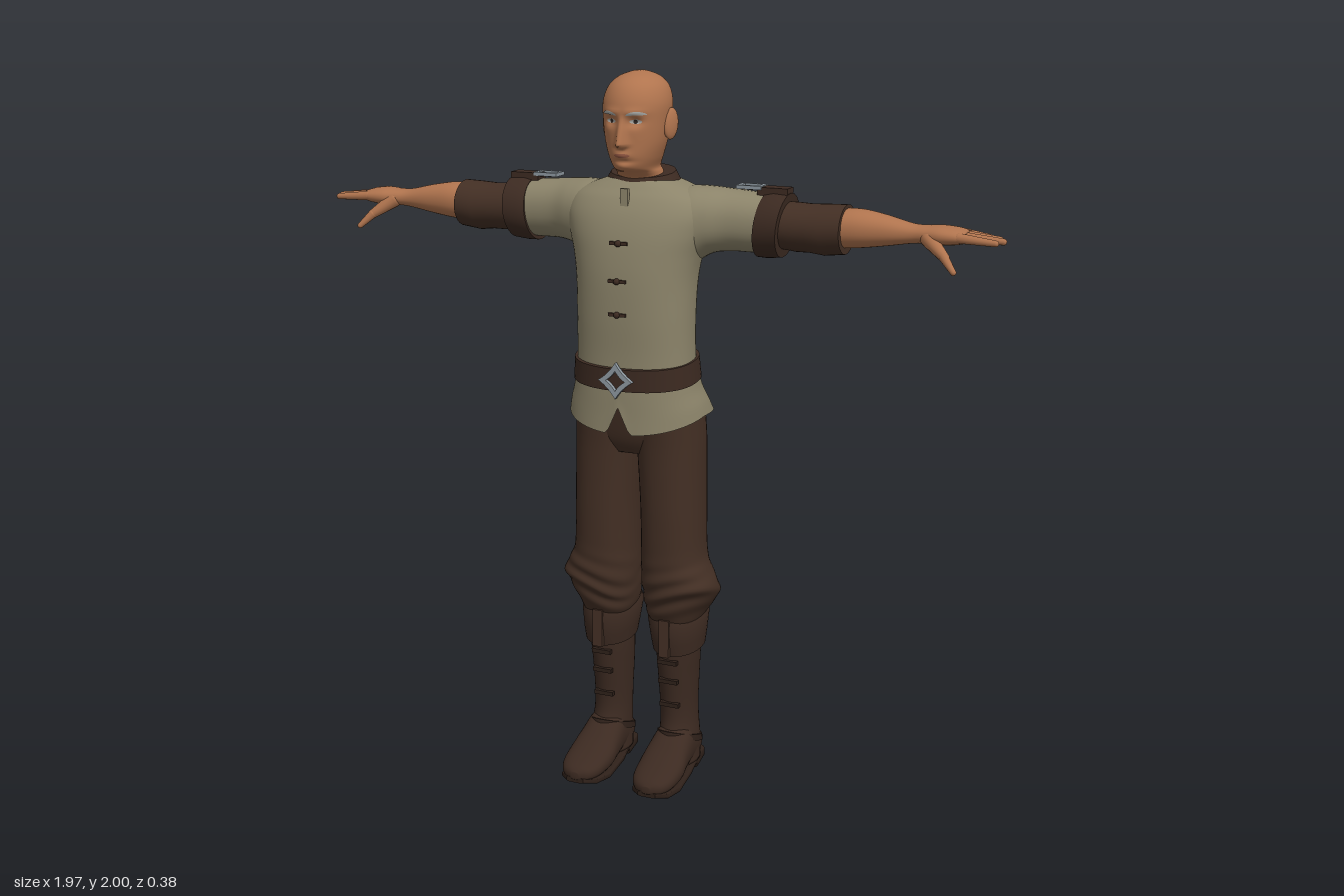
import * as THREE from 'three';
import { toCreasedNormals } from 'three/addons/utils/BufferGeometryUtils.js';

const mat = (name, color, side = THREE.FrontSide) => {
  const m = new THREE.MeshStandardMaterial({ color, side });
  m.name = name;
  return m;
};

// Smooth sample of the cross-section rows at parameter u
function sample(rows, u) {
  const last = rows.length - 1, i = Math.min(Math.floor(u), last - 1), f = u - i;
  const r = k => rows[Math.max(0, Math.min(last, k))];
  return rows[0].map((_, c) => {
    const [a, b, d, e] = [r(i - 1)[c], r(i)[c], r(i + 1)[c], r(i + 2)[c]];
    return b + 0.5 * f * (d - a + f * (2 * a - 5 * b + 4 * d - e + f * (3 * (b - d) + e - a)));
  });
}

// Closed rings along an axis; each row is [position, min1, max1, min2, max2], ascending
function loft(rows, { axis = 'y', n = 2, hard = false, segs = 36, steps = 6, warp, cap = true } = {}) {
  if (hard) steps = 1;
  const count = (rows.length - 1) * steps + 1, pos = [], idx = [], v = new THREE.Vector3();
  const put = (t, a, b) => {
    if (axis === 'y') v.set(a, t, b);
    else if (axis === 'x') v.set(t, a, b);
    else v.set(a, b, t);
    if (warp) warp(v);
    pos.push(v.x, v.y, v.z);
  };
  const tri = (a, b, c) => (axis === 'y' ? idx.push(a, c, b) : idx.push(a, b, c));
  const pw = s => Math.sign(s) * Math.pow(Math.abs(s), 2 / n);
  for (let j = 0; j < count; j++) {
    const [t, a0, a1, b0, b1] = sample(rows, j / steps);
    for (let i = 0; i < segs; i++) {
      const th = (i / segs) * Math.PI * 2;
      put(t, (a0 + a1) / 2 + (a1 - a0) / 2 * pw(Math.cos(th)), (b0 + b1) / 2 + (b1 - b0) / 2 * pw(Math.sin(th)));
    }
  }
  for (let j = 0; j < count - 1; j++) for (let i = 0; i < segs; i++) {
    const a = j * segs + i, b = j * segs + (i + 1) % segs;
    tri(a, b, a + segs);
    tri(b, b + segs, a + segs);
  }
  if (cap) [0, count - 1].forEach((j, end) => {
    const [t, a0, a1, b0, b1] = rows[end ? rows.length - 1 : 0], c = pos.length / 3;
    put(t, (a0 + a1) / 2, (b0 + b1) / 2);
    for (let i = 0; i < segs; i++) {
      const a = j * segs + i, b = j * segs + (i + 1) % segs;
      if (end) tri(a, b, c);
      else tri(b, a, c);
    }
  });
  const g = new THREE.BufferGeometry();
  g.setAttribute('position', new THREE.Float32BufferAttribute(pos, 3));
  g.setIndex(idx);
  g.computeVertexNormals();
  return hard ? toCreasedNormals(g, 0.7) : g;
}

// Tapered round-ended segment between two points
function digit(p, q, r0, r1) {
  const a = new THREE.Vector3(...p), d = new THREE.Vector3(...q).sub(a), len = d.length(), pts = [];
  for (let i = 0; i <= 5; i++) pts.push(new THREE.Vector2(r0 * Math.sin(i * Math.PI / 10), -r0 * Math.cos(i * Math.PI / 10)));
  for (let i = 0; i <= 5; i++) pts.push(new THREE.Vector2(r1 * Math.cos(i * Math.PI / 10), len - r1 + r1 * Math.sin(i * Math.PI / 10)));
  const g = new THREE.LatheGeometry(pts, 12);
  g.applyQuaternion(new THREE.Quaternion().setFromUnitVectors(new THREE.Vector3(0, 1, 0), d.normalize()));
  return g.translate(...p);
}

function mirror(geo) {
  const g = geo.clone().scale(-1, 1, 1);
  const src = g.index ? [...g.index.array] : Array.from({ length: g.attributes.position.count }, (_, i) => i);
  for (let i = 0; i < src.length; i += 3) [src[i], src[i + 1]] = [src[i + 1], src[i]];
  g.setIndex(src);
  return g;
}

const box = (w, h, d, x, y, z) => new THREE.BoxGeometry(w, h, d).translate(x, y, z);

// Head cross-sections and the raised and sunken features of the face
const headRows = [
  [1.66, -.09, .09, -.11, .02], [1.69, -.075, .075, -.1, .03], [1.72, -.065, .065, -.09, .036],
  [1.738, -.06, .06, -.087, .06], [1.752, -.057, .057, -.087, .09], [1.78, -.068, .068, -.086, .1],
  [1.82, -.08, .08, -.09, .102], [1.87, -.087, .087, -.1, .104], [1.92, -.09, .09, -.107, .102],
  [1.96, -.078, .078, -.1, .084], [1.985, -.053, .053, -.076, .053], [1.998, -.02, .02, -.04, .012], [2, -.004, .004, -.02, -.01]];
const bell = (d, w) => Math.exp(-(d * d) / (w * w));
function faceBump(x, y) {
  const ax = Math.abs(x);
  const ridge = y > 1.815 ? Math.max(0, (1.895 - y) / .08) : Math.max(0, 1 - (1.815 - y) / .012);
  return .03 * ridge * bell(x, .007 + .008 * ridge) - .013 * bell(ax - .034, .018) * bell(y - 1.875, .012)
    + .005 * bell(y - 1.9, .009) * bell(ax - .03, .03) + .006 * bell(y - 1.788, .009) * bell(x, .02)
    - .004 * bell(y - 1.772, .006) * bell(x, .03) + .005 * bell(y - 1.757, .01) * bell(x, .022);
}
function faceZ(x, y) {
  let u = 4;
  while (u < 10 && sample(headRows, u)[0] < y) u += .02;
  const [, , rx, zb, zf] = sample(headRows, u);
  return (zf + zb) / 2 + (zf - zb) / 2 * Math.sqrt(1 - (x * x) / (rx * rx)) + faceBump(x, y);
}
// Thin patch laid over the face, curved by bend and tapered to its ends
function facePatch(cx, cy, w, h, tilt = 0, bend = 0) {
  const g = new THREE.PlaneGeometry(w, h, 12, 4), p = g.attributes.position;
  for (let i = 0; i < p.count; i++) {
    const s = p.getX(i) / (w / 2), x = cx + p.getX(i);
    const y = cy + p.getY(i) * Math.sqrt(1.05 - s * s) + tilt * p.getX(i) + bend * (1 - s * s);
    p.setXYZ(i, x, y, faceZ(x, y) + .002);
  }
  g.computeVertexNormals();
  return g;
}

export function createModel() {
  const root = new THREE.Group();
  root.name = 'villager';
  const skin = mat('skin', 0xb0744e), cloth = mat('tunicCloth', 0x8c846a, THREE.DoubleSide);
  const trouser = mat('trouserBrown', 0x432f24), leather = mat('leather', 0x3c2a21), sole = mat('soleBrown', 0x2e2019);
  const silver = mat('silver', 0x8d979e), pale = mat('paleBrow', 0xa9aaa6), lip = mat('lip', 0x8d543f), dark = mat('eyeDark', 0x2a2320);
  const add = (name, geo, m) => {
    const mesh = new THREE.Mesh(geo, m);
    mesh.name = name;
    root.add(mesh);
  };
  const pair = (name, geo, m) => {
    add('left' + name, geo, m);
    add('right' + name, mirror(geo), m);
  };

  // Head and face
  add('head', loft(headRows, { segs: 112, steps: 8, warp: v => { if (v.z > .03 && v.y > 1.74) v.z += faceBump(v.x, v.y); } }), skin);
  const ear = new THREE.SphereGeometry(1, 16, 12).scale(.012, .042, .026).rotateY(-.35).rotateX(-.15);
  pair('Ear', ear.translate(.092, 1.865, -.008), skin);
  pair('Eyebrow', facePatch(.038, 1.894, .048, .009, .05, .004), pale);
  pair('EyeWhite', facePatch(.035, 1.876, .03, .011), pale);
  pair('Iris', facePatch(.034, 1.876, .01, .011).translate(0, 0, .0015), dark);
  add('mouth', facePatch(0, 1.788, .044, .011), lip);

  // Tunic body, flared skirt with a front notch, and collar
  add('tunicBody', loft([
    [1.15, -.17, .17, -.122, .124], [1.25, -.165, .165, -.112, .125], [1.35, -.164, .164, -.115, .13],
    [1.45, -.167, .167, -.127, .131], [1.52, -.178, .178, -.138, .126], [1.58, -.196, .196, -.147, .116],
    [1.63, -.205, .205, -.15, .1], [1.67, -.19, .19, -.142, .078], [1.695, -.15, .15, -.13, .056],
    [1.712, -.105, .105, -.118, .04], [1.72, -.08, .08, -.105, .03]], { n: 2.3, segs: 56 }), cloth);
  add('tunicSkirt', loft([
    [1.06, -.2, .2, -.187, .13], [1.1, -.192, .192, -.163, .128], [1.15, -.178, .178, -.138, .127], [1.21, -.168, .168, -.122, .125]],
  { n: 2.3, segs: 120, cap: false, warp: v => {
    const t = (1.21 - v.y) / .15, x = Math.abs(v.x);
    const notch = v.z > 0 ? Math.max(0, .075 * (1 - x / .034)) : 0;
    v.y += t * (notch - .16 * Math.max(0, v.z) + .55 * x * x);
  } }), cloth);
  add('collar', loft([[1.685, -.115, .115, -.124, .055], [1.728, -.09, .09, -.112, .036]],
    { hard: true, warp: v => { v.y -= .15 * v.z; } }), leather);
  add('neckPlacket', box(.022, .07, .012, 0, 1.665, .082), cloth);
  [[1.56, .121], [1.46, .13], [1.37, .13]].forEach(([y, z], i) => {
    add('clasp' + (i + 1), box(.05, .009, .012, 0, y, z), leather);
    add('claspToggle' + (i + 1), new THREE.SphereGeometry(.009, 10, 8).translate(0, y, z + .005), leather);
  });

  // Belt and concave diamond buckle
  add('belt', loft([[1.175, -.177, .177, -.136, .135], [1.236, -.172, .172, -.13, .137]],
    { n: 2.3, segs: 56, hard: true, warp: v => { v.y -= .1 * v.z; } }), leather);
  const star = (path, r) => {
    path.moveTo(0, r);
    for (const [x, y] of [[-r, 0], [0, -r], [r, 0], [0, r]]) {
      const p = path.currentPoint;
      path.quadraticCurveTo((p.x + x) * .38, (p.y + y) * .38, x, y);
    }
    return path;
  };
  const buckle = star(new THREE.Shape(), .05);
  buckle.holes.push(star(new THREE.Path(), .028));
  add('beltBuckle', new THREE.ExtrudeGeometry(buckle, { depth: .012, bevelEnabled: false }).translate(0, 1.192, .136), silver);

  // Sleeves, leather cuffs and shoulder straps
  pair('Sleeve', loft([
    [.09, 1.48, 1.695, -.135, .05], [.15, 1.495, 1.702, -.145, .055], [.2, 1.522, 1.7, -.15, .04],
    [.25, 1.53, 1.695, -.152, .022], [.31, 1.53, 1.69, -.153, .014], [.36, 1.53, 1.685, -.15, .01]], { axis: 'x', n: 2.2 }), cloth);
  pair('UpperCuff', loft([[.335, 1.519, 1.69, -.156, .018], [.36, 1.518, 1.695, -.158, .022], [.4, 1.522, 1.692, -.158, .022]],
    { axis: 'x', hard: true, warp: v => { v.x += .1 * (v.y - 1.6); } }), leather);
  pair('LowerCuff', loft([
    [.385, 1.545, 1.67, -.14, 0], [.43, 1.54, 1.67, -.142, .002], [.47, 1.54, 1.668, -.142, 0],
    [.51, 1.535, 1.67, -.148, .004], [.565, 1.542, 1.672, -.143, .002]], { axis: 'x', hard: true }), trouser);
  pair('ShoulderStrap', box(.085, .022, .045, .365, 1.695, -.068), leather);
  const rect = (w, h) => [[-w, -h], [w, -h], [w, h], [-w, h]].map(p => new THREE.Vector2(...p));
  const frame = new THREE.Shape(rect(.035, .026));
  frame.holes.push(new THREE.Path(rect(.024, .016)));
  pair('StrapBuckle', new THREE.ExtrudeGeometry(frame, { depth: .01, bevelEnabled: false }).rotateX(-Math.PI / 2).translate(.3, 1.699, -.068), silver);
  pair('StrapTongue', box(.07, .008, .022, .31, 1.7, -.068), leather);

  // Forearms, palms and fingers
  pair('Forearm', loft([
    [.54, 1.558, 1.66, -.13, -.015], [.6, 1.562, 1.663, -.13, -.015], [.67, 1.572, 1.652, -.117, -.024],
    [.74, 1.584, 1.636, -.102, -.034], [.78, 1.587, 1.634, -.106, -.03], [.82, 1.586, 1.636, -.118, -.022],
    [.86, 1.589, 1.632, -.123, -.023], [.885, 1.595, 1.625, -.118, -.028]], { axis: 'x', n: 2.2 }), skin);
  [[-.112, .938, -.12], [-.088, .97, -.096], [-.062, .986, -.068], [-.037, .974, -.032]].forEach(([z, tx, tz], i) =>
    pair('Finger' + (i + 1), digit([.87, 1.611, z], [tx, 1.604, tz], .0135, .0085), skin));
  pair('ThumbBase', digit([.79, 1.603, -.045], [.852, 1.556, -.006], .022, .013), skin);
  pair('ThumbTip', digit([.842, 1.563, -.01], [.877, 1.526, .012], .0125, .008), skin);

  // Trousers gathered below the knee
  add('trouserSeat', loft([[.97, -.12, .12, -.12, .06], [1.01, -.165, .165, -.138, .08], [1.07, -.178, .178, -.138, .095],
    [1.15, -.16, .16, -.115, .11]], { n: 2.4 }), trouser);
  pair('TrouserLeg', loft([
    [.45, .045, .165, -.12, .025], [.495, .024, .185, -.135, .05], [.54, .016, .212, -.146, .064], [.58, .014, .229, -.138, .076],
    [.63, .012, .208, -.127, .077], [.68, .013, .192, -.125, .076], [.8, .012, .188, -.13, .08],
    [.9, .007, .186, -.134, .082], [1, .001, .184, -.139, .086], [1.1, 0, .178, -.138, .098]],
  { n: 2.2, warp: v => {
    const k = bell(v.y - .57, .07), a = Math.atan2(v.z + .03, v.x - .1);
    v.z += .005 * k * Math.sin(v.y * 120 + 2 * a);
    v.y += .015 * k * Math.sin(2 * a);
  } }), trouser);

  // Boots: shaft, turned-down cuff, foot, sole, straps and toggles
  pair('BootShaft', loft([
    [.03, .052, .163, -.14, .02], [.1, .052, .163, -.137, .02], [.16, .052, .158, -.131, .004], [.22, .05, .157, -.13, .004],
    [.3, .046, .16, -.135, .014], [.36, .043, .164, -.134, .02], [.44, .042, .168, -.134, .025]]), leather);
  pair('BootCuff', loft([[.385, .034, .178, -.146, .036], [.42, .028, .182, -.155, .044], [.475, .019, .187, -.165, .05], [.495, .026, .18, -.157, .043]],
    { hard: true, warp: v => { v.y -= .13 * (v.z + .02); } }), leather);
  pair('CuffFlap', box(.03, .11, .012, .103, .435, .046), trouser);
  pair('BootFoot', loft([
    [-.14, .075, .14, .03, .08], [-.1, .056, .16, .025, .13], [-.03, .05, .166, .018, .155], [.03, .045, .171, .012, .128],
    [.08, .042, .177, .01, .096], [.14, .05, .171, .01, .073], [.175, .07, .152, .014, .058], [.19, .1, .122, .024, .044]],
  { axis: 'z', n: 2.3 }), leather);
  pair('BootSole', loft([
    [-.146, .065, .15, 0, .038], [-.068, .054, .162, 0, .038], [-.06, .054, .162, .018, .036], [0, .044, .17, .008, .03],
    [.1, .04, .178, 0, .022], [.155, .054, .168, .003, .024], [.187, .085, .138, .012, .028]], { axis: 'z', n: 5, hard: true }), sole);
  pair('AnkleStrap', loft([[.093, .045, .17, -.146, .028], [.112, .046, .168, -.143, .022]],
    { hard: true, warp: v => { v.y += .35 * (v.z + .06); } }), sole);
  [[.22, .006], [.295, .016], [.355, .022]].forEach(([y, z], i) =>
    pair('BootToggle' + (i + 1), box(.058, .012, .014, .103, y, z), sole));

  return root;
}
